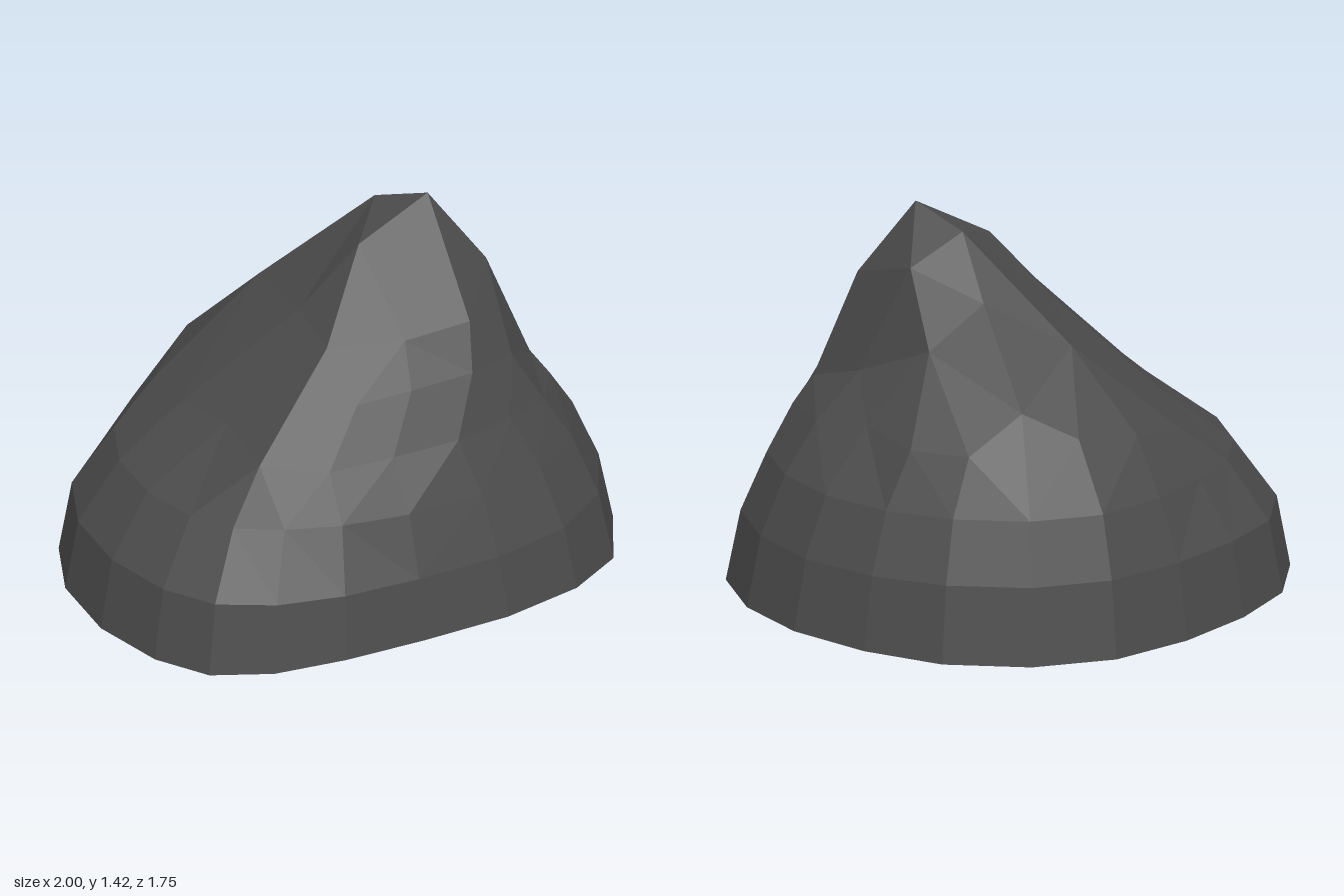
import * as THREE from 'three';

// Ground outline as (x, z), from +x round towards +z
const OUTLINE = [
  [1, 0.11], [0.95, 0.42], [0.79, 0.67], [0.54, 0.82], [0.22, 0.87], [-0.12, 0.85], [-0.42, 0.81],
  [-0.67, 0.73], [-0.86, 0.6], [-0.96, 0.4], [-1, 0.11], [-0.95, -0.2], [-0.81, -0.46], [-0.59, -0.63],
  [-0.31, -0.78], [0, -0.875], [0.31, -0.84], [0.59, -0.69], [0.8, -0.48], [0.95, -0.2],
];

// Corners of the shoulder, crag and crest, each round in the same direction as the outline
const SHOULDER = [
  [0.74, 0.68, 0.1], [0.71, 0.66, 0.38], [0.58, 0.67, 0.55], [0.38, 0.7, 0.64], [0.14, 0.7, 0.67],
  [-0.1, 0.68, 0.62], [-0.33, 0.66, 0.56], [-0.54, 0.69, 0.43], [-0.5, 0.72, 0.15], [-0.52, 0.68, -0.12],
  [-0.46, 0.64, -0.38], [-0.22, 0.7, -0.54], [0.02, 0.73, -0.58], [0.2, 0.82, -0.49], [0.42, 0.7, -0.53],
  [0.58, 0.7, -0.38], [0.64, 0.72, -0.12],
];
const CRAG = [
  [0.57, 0.85, 0.1], [0.64, 0.76, 0.36], [0.46, 0.88, 0.52], [0.25, 0.9, 0.59], [0.02, 0.88, 0.55],
  [-0.17, 0.85, 0.49], [-0.2, 1.02, 0.34], [-0.15, 1.04, 0.08], [-0.07, 0.98, -0.3], [0.22, 1.14, -0.19],
  [0.42, 0.98, -0.17],
];
const CREST = [
  [0.42, 1.24, 0], [0.5, 1.15, 0.29], [0.29, 1.06, 0.51], [0.05, 1.03, 0.46], [0.05, 1.28, 0.16], [0.22, 1.35, 0],
];
const PEAK = [0.32, 1.42, 0.19];

// The ground edge lifts a little at the front and dips at the back
function groundHeight(z) {
  const lift = 0.035 * THREE.MathUtils.smoothstep(z, 0.65, 0.88);
  const dip = 0.02 * THREE.MathUtils.smoothstep(-z, 0.3, 0.75);
  return 0.02 + lift - dip;
}

// Joins two rings of unequal counts with triangles, always along the shorter diagonal
function joinRings(lower, upper, triangles) {
  const at = (ring, i) => ring[i % ring.length];
  let i = 0;
  let j = 0;
  while (i < lower.length || j < upper.length) {
    const l = at(lower, i);
    const u = at(upper, j);
    const nextL = at(lower, i + 1);
    const nextU = at(upper, j + 1);
    const stepLower = j === upper.length || (i < lower.length && nextL.distanceTo(u) < nextU.distanceTo(l));
    triangles.push(l, u, stepLower ? nextL : nextU);
    if (stepLower) i++;
    else j++;
  }
}

function rockGeometry() {
  const toPoints = (list) => list.map((p) => new THREE.Vector3(...p));
  const base = toPoints(OUTLINE.map(([x, z]) => [x, groundHeight(z), z]));
  const skirt = toPoints(OUTLINE.map(([x, z]) => [x * 0.95, 0.28, z * 0.95]));

  // The flank draws in further on the -x side
  const flank = toPoints(OUTLINE.map(([x, z]) => {
    const scale = 0.86 - 0.07 * THREE.MathUtils.smoothstep(-x, 0, 0.8);
    return [x * scale, 0.5, z * scale];
  }));

  const rings = [base, skirt, flank, toPoints(SHOULDER), toPoints(CRAG), toPoints(CREST), toPoints([PEAK])];
  const triangles = [];
  for (let k = 0; k < rings.length - 2; k++) joinRings(rings[k], rings[k + 1], triangles);

  // Peak and underside fans
  const fan = (ring, tip, up) => ring.forEach((p, i) => {
    const next = ring[(i + 1) % ring.length];
    triangles.push(...(up ? [p, tip, next] : [p, next, tip]));
  });
  fan(rings[5], rings[6][0], true);
  fan(base, new THREE.Vector3(0, 0.02, 0), false);

  const geometry = new THREE.BufferGeometry().setFromPoints(triangles);
  geometry.computeVertexNormals();
  return geometry;
}

export function createModel() {
  const group = new THREE.Group();
  group.name = 'boulder';
  const stone = new THREE.MeshStandardMaterial({ color: 0x4c4c4c, flatShading: true });
  const rock = new THREE.Mesh(rockGeometry(), stone);
  rock.name = 'rock';
  group.add(rock);
  return group;
}
